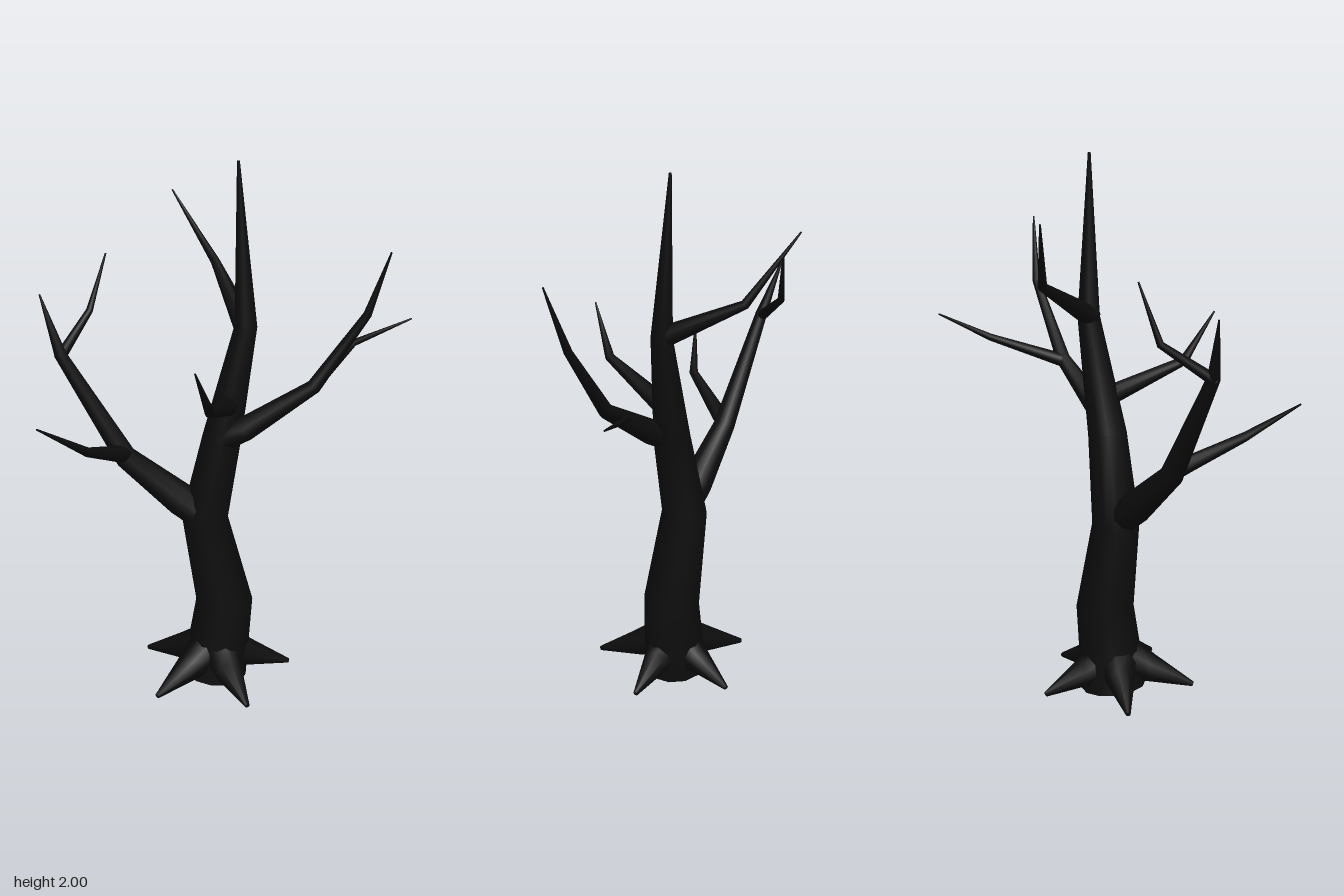
import * as THREE from 'three';

const bark = new THREE.MeshStandardMaterial({ color: 0x0d0d0d });
bark.name = 'charred bark';

// Tapered limb through points [x, y, z, radius], with mitred rings and flat ends
function limb(name, points, sides = 10) {
  const centres = points.map(([x, y, z]) => new THREE.Vector3(x, y, z));
  const last = centres.length - 1;
  const pos = [], index = [];
  const rings = centres.map((c, i) => {
    const dir = new THREE.Vector3();
    if (i > 0) dir.add(c.clone().sub(centres[i - 1]).normalize());
    if (i < last) dir.add(centres[i + 1].clone().sub(c).normalize());
    return dir.normalize();
  });
  const u = new THREE.Vector3(0.31, 0, 0.95);
  if (Math.abs(u.dot(rings[0])) > 0.8) u.set(0, 1, 0);

  const addRing = (i, axisU) => {
    const start = pos.length / 3;
    const v = new THREE.Vector3().crossVectors(rings[i], axisU);
    for (let s = 0; s < sides; s++) {
      const a = (s / sides) * Math.PI * 2;
      const p = centres[i].clone()
        .addScaledVector(axisU, Math.cos(a) * points[i][3])
        .addScaledVector(v, Math.sin(a) * points[i][3]);
      pos.push(p.x, p.y, p.z);
    }
    return start;
  };
  const addCap = (i, axisU, flip) => {
    const ring = addRing(i, axisU);
    const mid = pos.length / 3;
    pos.push(...centres[i].toArray());
    for (let s = 0; s < sides; s++) {
      const a = ring + s, b = ring + (s + 1) % sides;
      index.push(mid, flip ? b : a, flip ? a : b);
    }
  };

  let previous = -1;
  for (let i = 0; i <= last; i++) {
    u.addScaledVector(rings[i], -u.dot(rings[i])).normalize();
    const ring = addRing(i, u);
    if (previous >= 0) {
      for (let s = 0; s < sides; s++) {
        const t = (s + 1) % sides;
        index.push(previous + s, previous + t, ring + t, previous + s, ring + t, ring + s);
      }
    }
    previous = ring;
    if (i === 0) addCap(i, u, true);
    if (i === last) addCap(i, u, false);
  }

  const geometry = new THREE.BufferGeometry();
  geometry.setAttribute('position', new THREE.Float32BufferAttribute(pos, 3));
  geometry.setIndex(index);
  geometry.computeVertexNormals();
  const mesh = new THREE.Mesh(geometry, bark);
  mesh.name = name;
  return mesh;
}

export function createModel() {
  const tree = new THREE.Group();
  tree.name = 'bareTree';

  // Crooked trunk running up into a spire
  tree.add(limb('trunk', [
    [-0.07, 0.018, 0.012, 0.122], [-0.03, 0.33, 0.005, 0.107], [-0.1, 0.68, -0.01, 0.086],
    [-0.038, 1.0, 0.008, 0.07], [0.05, 1.42, 0, 0.04], [0.025, 2.0, -0.02, 0.005],
  ], 12));

  // Main branches and the twigs that fork from them
  const branches = {
    rightBranch: [[-0.1, 0.69, 0, 0.066], [-0.19, 0.755, -0.01, 0.062], [-0.385, 0.93, -0.025, 0.042],
      [-0.6, 1.32, -0.065, 0.023], [-0.662, 1.53, -0.118, 0.003]],
    rightBackTwig: [[-0.605, 1.31, -0.06, 0.021], [-0.487, 1.435, -0.2, 0.013], [-0.42, 1.635, -0.235, 0.003]],
    rightFrontTwig: [[-0.39, 0.945, -0.02, 0.034], [-0.415, 0.965, 0.02, 0.03],
      [-0.53, 1.055, 0.19, 0.017], [-0.698, 1.187, 0.275, 0.003]],
    leftBranch: [[-0.03, 1.01, 0.03, 0.05], [0.04, 1.05, 0.055, 0.046], [0.28, 1.212, 0.088, 0.027],
      [0.457, 1.482, 0.118, 0.015], [0.52, 1.715, 0.165, 0.003]],
    leftBackTwig: [[0.27, 1.205, 0.085, 0.025], [0.465, 1.295, -0.11, 0.013], [0.695, 1.357, -0.168, 0.003]],
    backBranch: [[0.045, 1.42, 0.005, 0.04], [-0.02, 1.572, -0.285, 0.017], [-0.16, 1.81, -0.42, 0.003]],
    frontBranch: [[-0.01, 1.125, 0.01, 0.04], [-0.12, 1.232, 0.322, 0.018], [-0.18, 1.412, 0.418, 0.003]],
  };
  for (const [name, points] of Object.entries(branches)) tree.add(limb(name, points));

  // Five pointed roots fanning out around the foot
  const rootTips = [[0.22, 0.02], [0.015, 0.303], [-0.31, 0.193], [-0.31, -0.155], [0.015, -0.26]];
  for (const [x, z] of rootTips) {
    const along = (t) => [-0.07 + (x + 0.07) * t, 0.02 + (z - 0.02) * t];
    const [ax, az] = along(0.2), [bx, bz] = along(0.45);
    tree.add(limb('root', [
      [ax, 0.125, az, 0.07], [bx, 0.092, bz, 0.054], [x, 0.038, z, 0.009],
    ], 8));
  }
  return tree;
}
